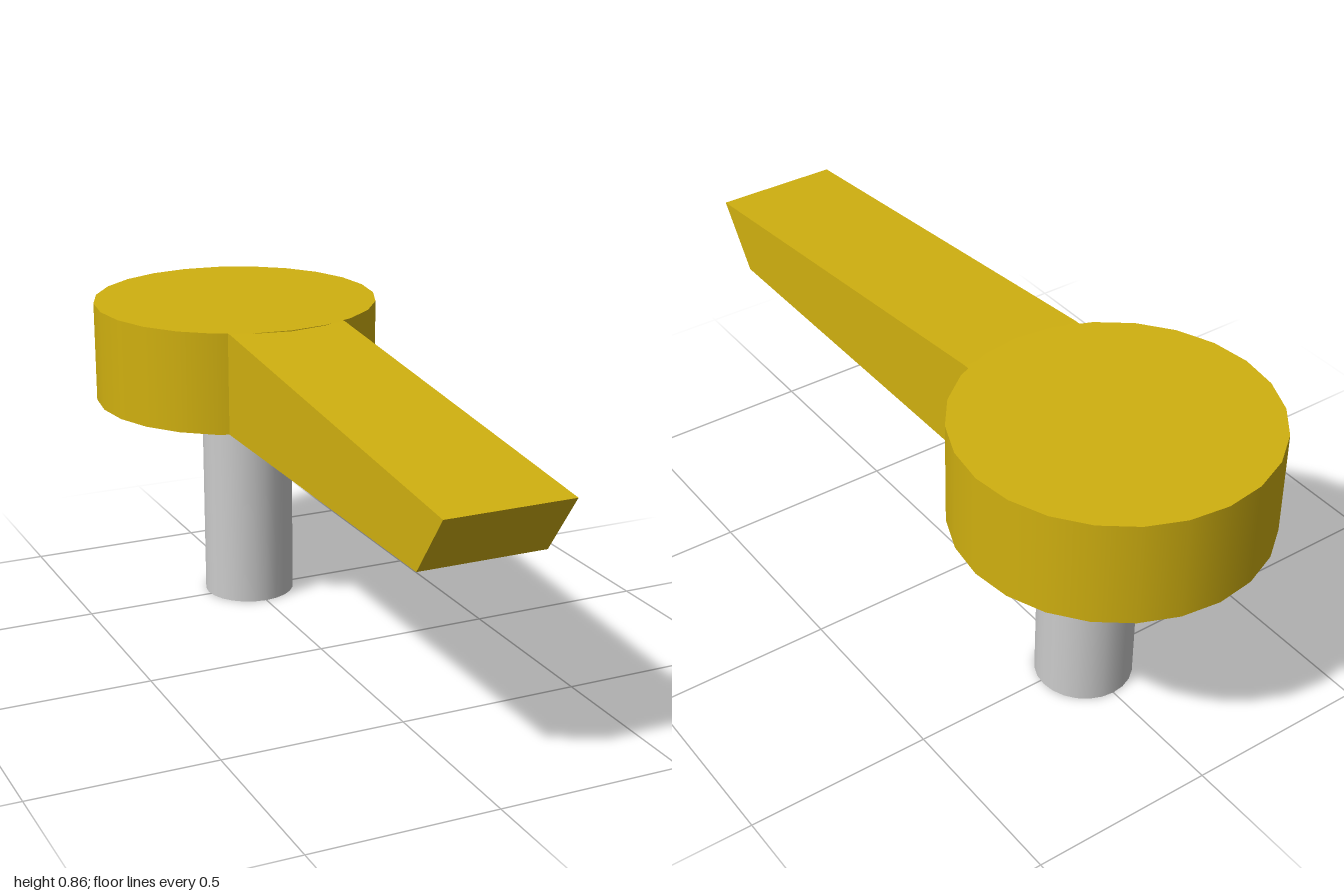
import * as THREE from 'three';

const yellow = new THREE.MeshStandardMaterial({ color: 0xd0b010 });
const grey = new THREE.MeshStandardMaterial({ color: 0xcccccc });

const BASE = 0.578; // underside of the handle
const TOP = 0.863; // top of the hub

function addMesh(group, name, geometry, material) {
  const mesh = new THREE.Mesh(geometry, material);
  mesh.name = name;
  group.add(mesh);
  return mesh;
}

export function createModel() {
  const group = new THREE.Group();
  group.name = 'leverHandle';

  // Round hub at the back
  const hub = addMesh(group, 'hub', new THREE.CylinderGeometry(0.406, 0.406, TOP - BASE, 24), yellow);
  hub.position.set(0, (TOP + BASE) / 2, -0.595);

  // Tapered lever: side profile as (z, y), extruded across x
  const profile = new THREE.Shape([
    [-0.25, BASE], [0.88, BASE], [1, 0.743], [-0.215, TOP], [-0.25, TOP],
  ].map(([z, y]) => new THREE.Vector2(z, y)));
  const width = 0.342;
  const leverGeometry = new THREE.ExtrudeGeometry(profile, { depth: width, bevelEnabled: false });
  leverGeometry.rotateY(-Math.PI / 2).translate(width / 2 + 0.001, 0, 0);
  addMesh(group, 'lever', leverGeometry, yellow);

  // Grey post below the hub, closed by a yellow end face
  const post = addMesh(group, 'post', new THREE.CylinderGeometry(0.13, 0.13, BASE, 24, 1, true), grey);
  post.position.set(0, BASE / 2, -0.514);
  const postEnd = addMesh(group, 'postEnd', new THREE.CircleGeometry(0.13, 24), yellow);
  postEnd.rotation.x = Math.PI / 2;
  postEnd.position.set(0, 0, -0.514);

  return group;
}
